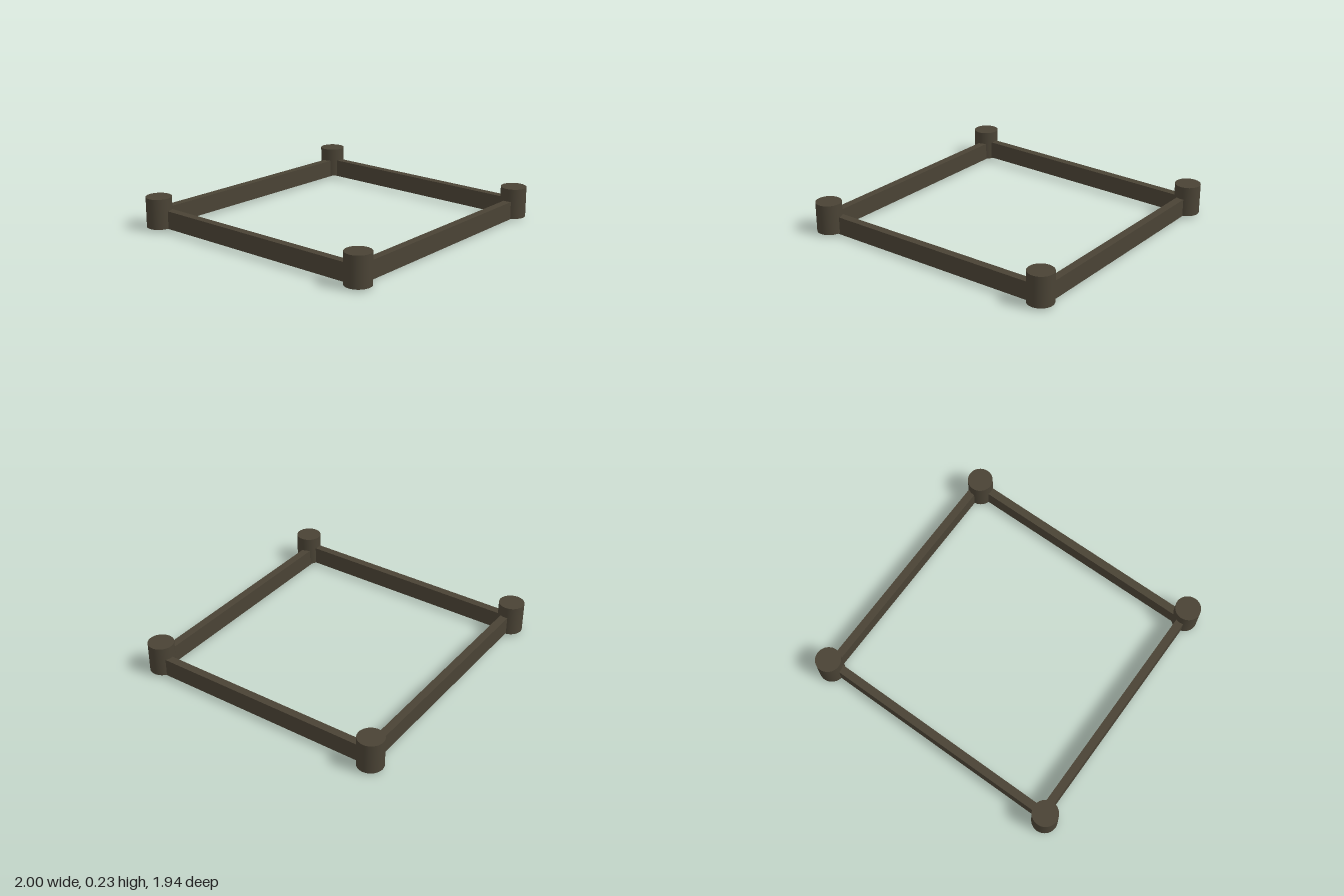
import * as THREE from 'three';

const material = new THREE.MeshStandardMaterial({ color: 0x4a4335 });
const RAIL_HEIGHT = 0.127;
const RAIL_WIDTH = 0.057;

// Rail running between two centre points, following their slight tilt
function rail(name, from, to) {
  const a = new THREE.Vector3(...from);
  const b = new THREE.Vector3(...to);
  const mesh = new THREE.Mesh(
    new THREE.BoxGeometry(RAIL_WIDTH, RAIL_HEIGHT, a.distanceTo(b)), material);
  mesh.name = name;
  mesh.position.copy(a).add(b).multiplyScalar(0.5);
  mesh.lookAt(b);
  return mesh;
}

// Round corner post standing on its base point
function post(name, x, base, z) {
  const height = 0.214;
  const mesh = new THREE.Mesh(new THREE.CylinderGeometry(0.09, 0.09, height, 40), material);
  mesh.name = name;
  mesh.position.set(x, base + height / 2, z);
  return mesh;
}

export function createModel() {
  const group = new THREE.Group();
  group.name = 'squareFrame';

  // Corner posts, placed a little unevenly
  group.add(
    post('frontRightPost', -0.885, 0.014, 0.88),
    post('frontLeftPost', 0.88, 0.019, 0.84),
    post('backRightPost', -0.91, 0.018, -0.88),
    post('backLeftPost', 0.91, 0.019, -0.88),
  );

  // Side rails are level, front and back rails lean in opposite directions
  group.add(
    rail('frontRail', [-0.91, 0.066, 0.85], [0.88, 0.08, 0.846]),
    rail('backRail', [-0.91, 0.089, -0.87], [0.91, 0.078, -0.862]),
    rail('rightRail', [-0.884, 0.079, -0.88], [-0.884, 0.079, 0.86]),
    rail('leftRail', [0.901, 0.079, -0.88], [0.901, 0.079, 0.85]),
  );
  return group;
}
